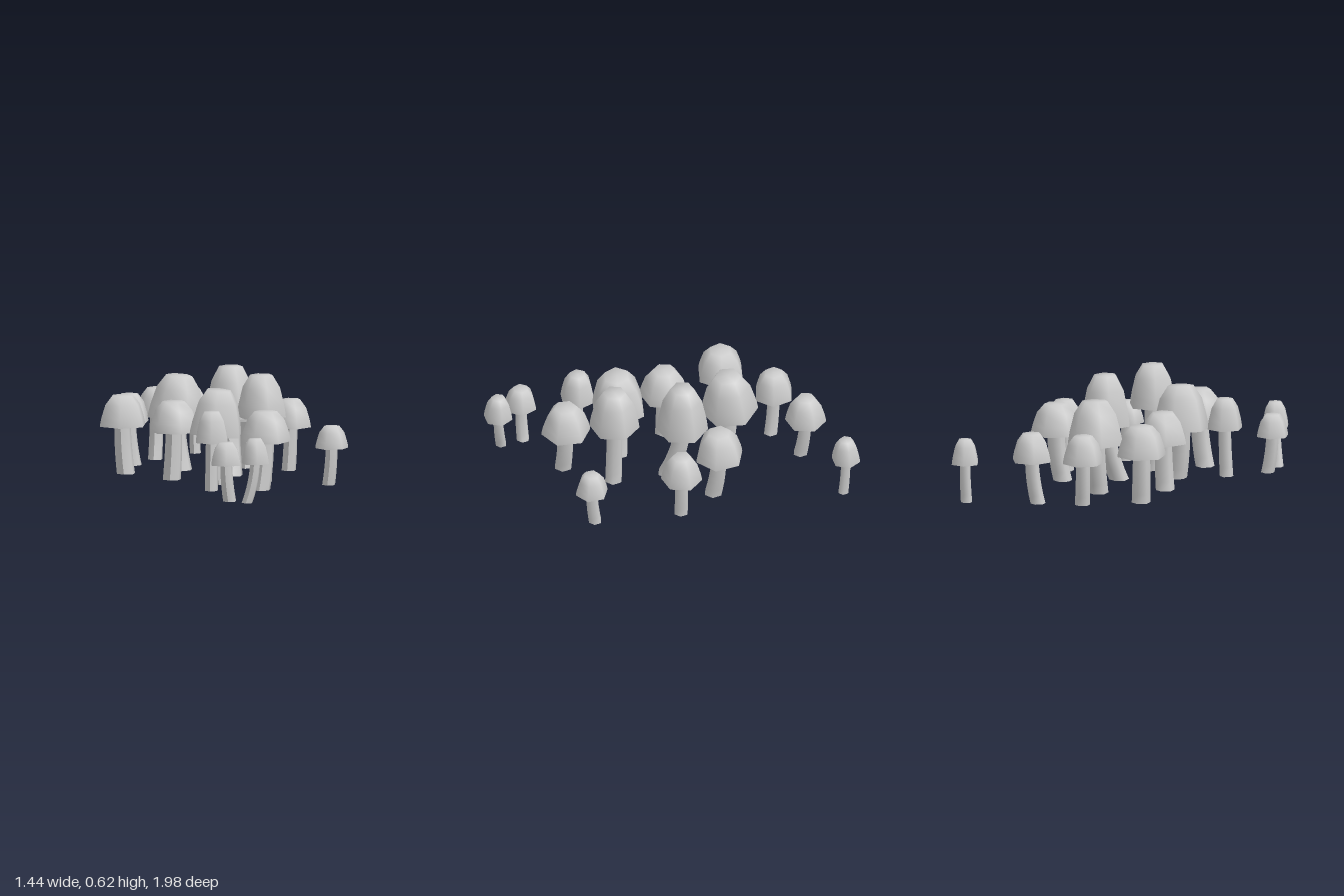
import * as THREE from 'three';

const material = new THREE.MeshStandardMaterial({ color: 0xcccccc });

// Cap outline as [share of radius, share of height]
const CAP = [[1, 0], [0.985, 0.1], [0.93, 0.3], [0.76, 0.71], [0.46, 1], [0, 1]];

// Mushroom kinds; each is planted at [x, z, turn in degrees, foot dx, foot dz]
const KINDS = [
  {
    name: 'tinyMushroom', radius: 0.082, rim: 0.227, top: 0.366, stem: 0.032, foot: 0.005, tilt: 0,
    spots: [[-0.385, -0.92, 11, 0.01, 0.01], [0.37, 0.91, 10, -0.045, 0.01]],
  },
  {
    name: 'smallMushroom', radius: 0.093, rim: 0.21, top: 0.334, stem: 0.038, foot: 0, tilt: 0,
    spots: [[0.63, 0.11, -21, -0.02, -0.01], [0.195, 0.875, 17, 0.015, -0.025]],
  },
  {
    name: 'mediumMushroom', radius: 0.115, rim: 0.264, top: 0.42, stem: 0.042, foot: 0.02, tilt: 0,
    spots: [[-0.52, -0.56, 0, 0, 0.035], [-0.615, -0.283, 26, 0.03, 0], [0.31, -0.28, 0, -0.01, 0.01]],
  },
  {
    name: 'slimMushroom', radius: 0.102, rim: 0.293, top: 0.463, stem: 0.038, foot: 0.02, tilt: 0,
    spots: [[0.05, 0.59, 18, 0, 0.01]],
  },
  {
    name: 'largeMushroom', radius: 0.139, rim: 0.29, top: 0.459, stem: 0.053, foot: 0.02, tilt: 0,
    spots: [[0.05, -0.36, -26, 0, 0.04], [-0.58, 0.05, 23, 0.02, 0],
      [-0.25, 0.21, 0, -0.01, 0.01], [0.335, 0.48, -14, -0.02, 0.03]],
  },
  {
    name: 'broadMushroom', radius: 0.16, rim: 0.301, top: 0.55, stem: 0.058, foot: 0.02, tilt: -0.08,
    spots: [[-0.325, -0.18, -7, 0.04, 0.02], [0.015, 0.34, 22, 0.03, -0.02]],
  },
  {
    name: 'tallMushroom', radius: 0.144, rim: 0.34, top: 0.624, stem: 0.056, foot: 0.02, tilt: 0,
    spots: [[0.01, -0.085, -3, 0.03, 0.08]],
  },
  {
    name: 'tallHighRimMushroom', radius: 0.14, rim: 0.388, top: 0.624, stem: 0.052, foot: 0.02, tilt: 0,
    spots: [[0.25, 0.21, 0, 0.01, 0]],
  },
];

function part(name, geometry, parent) {
  const mesh = new THREE.Mesh(geometry, material);
  mesh.name = name;
  parent.add(mesh);
  return mesh;
}

// Six-sided stem whose foot curves away from the cap axis
function stemGeometry(radius, height, dx, dz) {
  const g = new THREE.CylinderGeometry(radius * 0.9, radius, height, 6, 6);
  g.translate(0, height / 2, 0);
  const p = g.attributes.position;
  for (let i = 0; i < p.count; i++) {
    const bend = (1 - p.getY(i) / height) ** 2;
    p.setX(i, p.getX(i) + dx * bend);
    p.setZ(i, p.getZ(i) + dz * bend);
  }
  g.computeVertexNormals();
  return g;
}

function makeMushroom(kind, [x, z, turn, dx, dz]) {
  const { name, radius, rim, top, stem, foot, tilt } = kind;
  const mushroom = new THREE.Group();
  mushroom.name = name;
  mushroom.position.set(x, 0, z);

  // Stem, running a little way into the cap
  part('stem', stemGeometry(stem, rim + 0.04 - foot, dx, dz), mushroom).position.y = foot;

  // Hexagonal cap with a flat underside
  const cap = new THREE.Group();
  cap.name = 'cap';
  cap.position.y = rim;
  cap.rotation.z = tilt;
  mushroom.add(cap);
  const angle = THREE.MathUtils.degToRad(turn);
  const profile = CAP.map(([a, b]) => new THREE.Vector2(a * radius, b * (top - rim)));
  part('capDome', new THREE.LatheGeometry(profile, 6, Math.PI / 2 - angle), cap);
  part('capUnderside', new THREE.CircleGeometry(radius, 6, angle).rotateX(Math.PI / 2), cap);
  return mushroom;
}

export function createModel() {
  const cluster = new THREE.Group();
  cluster.name = 'mushroomCluster';
  for (const kind of KINDS) {
    for (const spot of kind.spots) cluster.add(makeMushroom(kind, spot));
  }
  return cluster;
}
